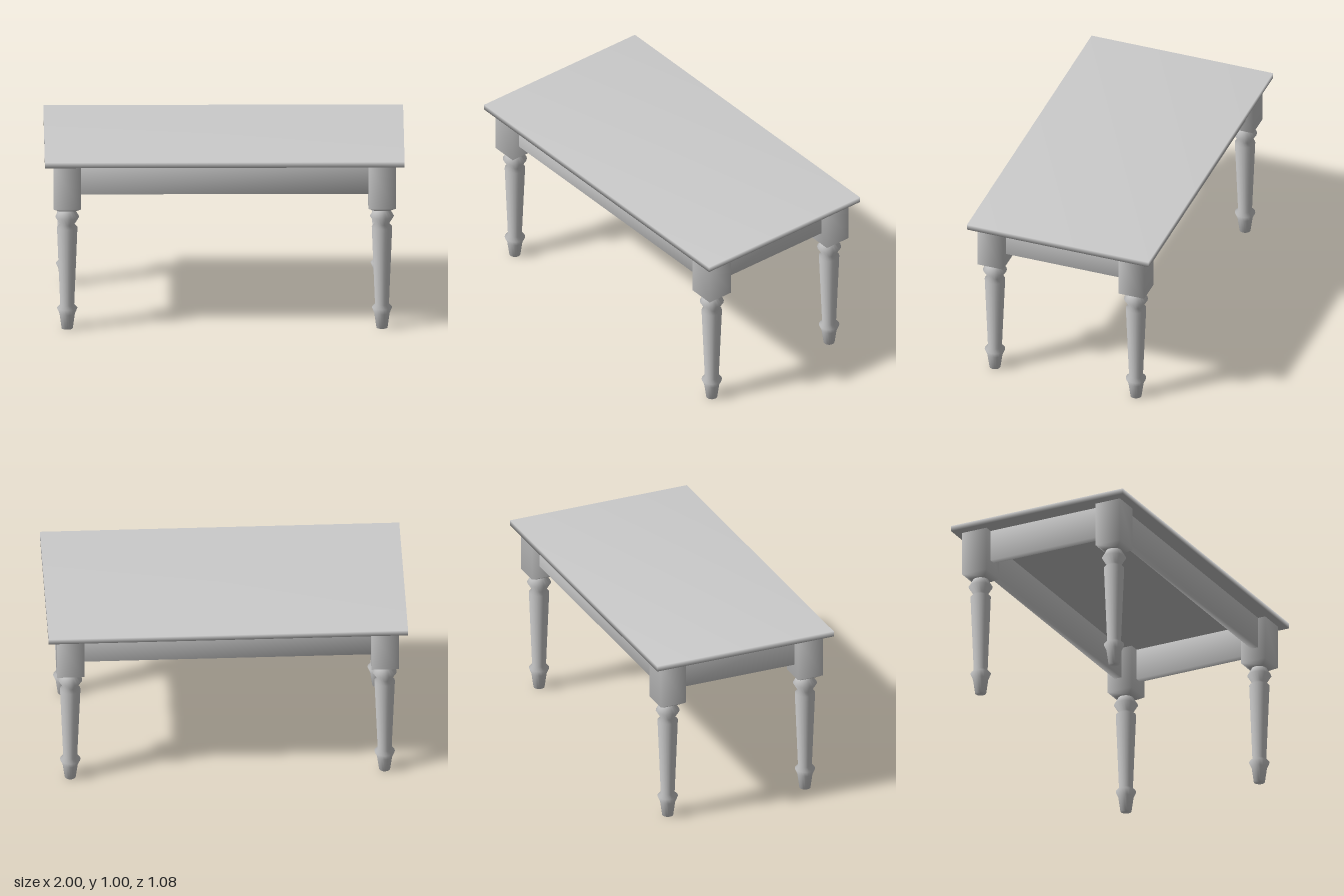
import * as THREE from 'three';
import { mergeVertices } from 'three/addons/utils/BufferGeometryUtils.js';

const material = new THREE.MeshStandardMaterial({ color: 0xcccccc });
const LEG_X = 0.875, LEG_Z = 0.418, HALF_BLOCK = 0.0765;
const TOP_UNDERSIDE = 0.968;

// Box with corner normals shared between its faces, for soft shading
function softBox(name, w, h, d, x, y, z) {
  const box = new THREE.BoxGeometry(w, h, d);
  box.deleteAttribute('normal');
  box.deleteAttribute('uv');
  const geometry = mergeVertices(box);
  geometry.computeVertexNormals();
  const mesh = new THREE.Mesh(geometry, material);
  mesh.name = name;
  mesh.position.set(x, y, z);
  return mesh;
}

function lathe(profile, sides, phi = 0, scale = 1) {
  const points = profile.map(([r, y]) => new THREE.Vector2(r * scale, y));
  return new THREE.LatheGeometry(points, sides, phi);
}

// Turned shaft: tapered foot, ankle ring, long taper, double neck ring
const shaftGeometry = lathe([
  [0, 0], [0.031, 0], [0.043, 0.086], [0.057, 0.119], [0.039, 0.139],
  [0.057, 0.588], [0.04, 0.606], [0.067, 0.65], [0.044, 0.69], [0.044, 0.705],
], 20);

// Square block with a sloped underside
const blockGeometry = lathe([
  [0, 0.692], [0.044, 0.692], [HALF_BLOCK, 0.714], [HALF_BLOCK, TOP_UNDERSIDE],
], 4, Math.PI / 4, Math.SQRT2);

function createLeg(name, x, z) {
  const leg = new THREE.Group();
  leg.name = name;
  const shaft = new THREE.Mesh(shaftGeometry, material);
  shaft.name = 'turnedShaft';
  const block = new THREE.Mesh(blockGeometry, material);
  block.name = 'legBlock';
  leg.add(shaft, block);
  leg.position.set(x, 0, z);
  return leg;
}

export function createModel() {
  const table = new THREE.Group();
  table.name = 'table';

  table.add(softBox('tabletop', 2, 1 - TOP_UNDERSIDE, 1.075, 0, (1 + TOP_UNDERSIDE) / 2, 0));

  // Four legs
  for (const [sideName, sx] of [['Left', 1], ['Right', -1]]) {
    for (const [endName, sz] of [['front', 1], ['back', -1]]) {
      table.add(createLeg(`${endName}${sideName}Leg`, sx * LEG_X, sz * LEG_Z));
    }
  }

  // Apron rails, set back from the outer faces of the leg blocks
  const bottom = 0.788, thick = 0.044, setIn = 0.01;
  const height = TOP_UNDERSIDE - bottom, y = bottom + height / 2;
  const longRail = 2 * (LEG_X - HALF_BLOCK + setIn);
  const shortRail = 2 * (LEG_Z - HALF_BLOCK + setIn);
  for (const s of [1, -1]) {
    table.add(softBox(s > 0 ? 'frontApron' : 'backApron',
      longRail, height, thick, 0, y, s * (LEG_Z + 0.01)));
    table.add(softBox(s > 0 ? 'leftApron' : 'rightApron',
      thick, height, shortRail, s * (LEG_X + 0.005), y, 0));
  }
  return table;
}
